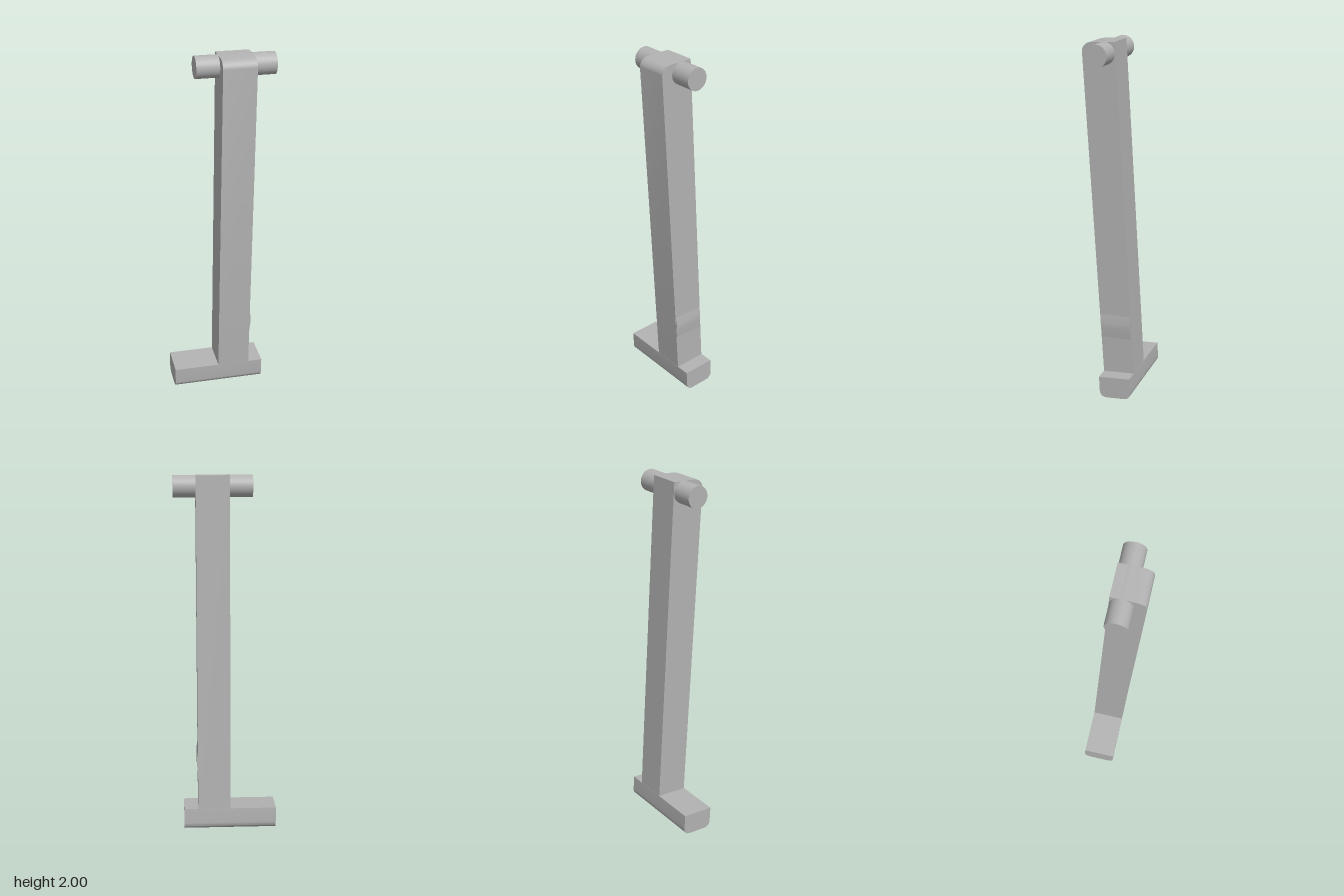
import * as THREE from 'three';
import { toCreasedNormals } from 'three/addons/utils/BufferGeometryUtils.js';

const grey = new THREE.MeshStandardMaterial({ color: 0xb2b2b2 });
grey.name = 'plain grey';

// Sweeps a side profile (z, y) along x from x0 to x1
function sideExtrude(name, shape, x0, x1) {
  const geo = new THREE.ExtrudeGeometry(shape, { depth: x1 - x0, bevelEnabled: false, curveSegments: 10 });
  geo.rotateY(-Math.PI / 2).translate(x1, 0, 0);
  const mesh = new THREE.Mesh(toCreasedNormals(geo, 0.5), grey);
  mesh.name = name;
  return mesh;
}

export function createModel() {
  const group = new THREE.Group();
  group.name = 'lever';

  // Leaning shaft with a rounded upper front edge
  const shaft = new THREE.Shape();
  shaft.moveTo(0.035, 0.1);
  shaft.lineTo(0.151, 1.94);
  shaft.bezierCurveTo(0.153, 1.97, 0.13, 1.992, 0.1, 1.994);
  shaft.lineTo(-0.031, 2.0);
  shaft.lineTo(-0.145, 0.1);
  group.add(sideExtrude('shaft', shaft, -0.025, 0.158));

  // Crossbar foot, rounded along both lower edges
  const foot = new THREE.Shape();
  foot.moveTo(0.037, 0.122);
  foot.lineTo(-0.144, 0.134);
  foot.lineTo(-0.15, 0.052);
  foot.bezierCurveTo(-0.151, 0.026, -0.136, 0.009, -0.11, 0.007);
  foot.lineTo(-0.008, 0);
  foot.bezierCurveTo(0.018, 0, 0.032, 0.014, 0.033, 0.04);
  group.add(sideExtrude('foot', foot, -0.284, 0.239));

  // Round pin through the top
  const pin = new THREE.Mesh(new THREE.CylinderGeometry(0.06, 0.06, 0.432, 48), grey);
  pin.name = 'pin';
  pin.rotation.z = Math.PI / 2;
  pin.position.set(0.066, 1.938, 0.028);
  group.add(pin);

  // Shallow swelling on the left side, sheared to follow the shaft's lean
  const swell = new THREE.Shape();
  swell.moveTo(0.14, 0.33);
  swell.lineTo(0.157, 0.33);
  swell.lineTo(0.165, 0.4);
  swell.lineTo(0.165, 0.425);
  swell.lineTo(0.157, 0.482);
  swell.lineTo(0.14, 0.482);
  const geo = new THREE.ExtrudeGeometry(swell, { depth: 0.174, bevelEnabled: false });
  const p = geo.attributes.position;
  for (let i = 0; i < p.count; i++) p.setZ(i, p.getZ(i) - 0.147 + 0.0615 * p.getY(i));
  const bump = new THREE.Mesh(toCreasedNormals(geo, 0.2), grey);
  bump.name = 'sideSwelling';
  group.add(bump);

  return group;
}
